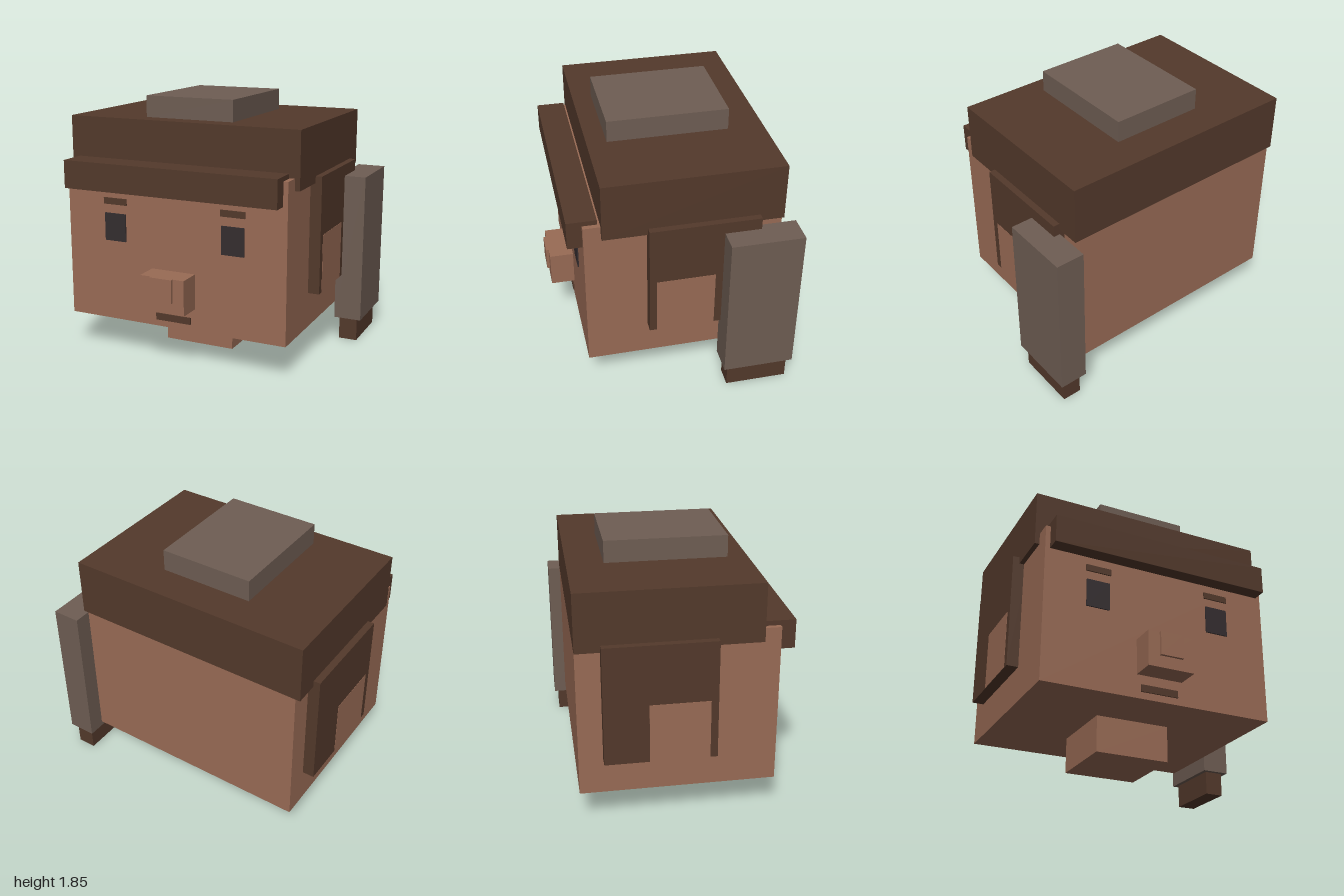
import * as THREE from 'three';

const material = (name, color) => {
  const m = new THREE.MeshStandardMaterial({ color });
  m.name = name;
  return m;
};

export function createModel() {
  const skin = material('skin', 0x996b55);
  const hair = material('dark brown hair', 0x53392b);
  const band = material('grey brown', 0x6e5d53);
  const eye = material('eye', 0x342d2f);

  const model = new THREE.Group();
  model.name = 'blockHead';

  // Box given by its [min, max] extents on each axis
  const box = (name, mat, [x0, x1], [y0, y1], [z0, z1]) => {
    const mesh = new THREE.Mesh(new THREE.BoxGeometry(x1 - x0, y1 - y0, z1 - z0), mat);
    mesh.position.set((x0 + x1) / 2, (y0 + y1) / 2, (z0 + z1) / 2);
    mesh.name = name;
    model.add(mesh);
  };

  // The head is centred slightly to its right; mirror paired parts about this line
  const mid = -0.078;
  const pair = (name, mat, [x0, x1], y, z) => {
    box(name + 'Left', mat, [mid + x0, mid + x1], y, z);
    box(name + 'Right', mat, [mid - x1, mid - x0], y, z);
  };

  // Head and neck
  box('head', skin, [-0.918, 0.762], [0.257, 1.38], [-0.72, 0.62]);
  box('neck', skin, [-0.348, 0.19], [0, 0.257], [-0.32, 0.22]);

  // Hair cap, fringe and top knot
  box('hairCap', hair, [-0.952, 0.798], [1.298, 1.7], [-0.722, 0.503]);
  box('fringe', hair, [-0.884, 0.728], [1.213, 1.413], [0.52, 0.722]);
  box('topKnot', band, [-0.412, 0.257], [1.7, 1.852], [-0.472, 0.366]);

  // Side hair with ears set almost flush in it
  pair('sideHair', hair, [0.8, 0.922], [0.51, 1.346], [-0.556, 0.2]);
  pair('ear', skin, [0.8, 0.924], [0.511, 0.928], [-0.255, 0.15]);

  // Hanging braid on the left with its loose end
  box('braid', band, [0.798, 1], [0.173, 1.262], [-0.807, -0.306]);
  box('braidEnd', hair, [0.83, 0.965], [0, 0.173], [-0.776, -0.338]);

  // Nose and its raised tip
  box('nose', skin, [-0.245, 0.09], [0.424, 0.675], [0.62, 0.79]);
  box('noseTip', skin, [-0.162, 0.005], [0.507, 0.675], [0.79, 0.81]);

  // Face details as thin plates
  const face = [0.621, 0.63];
  pair('eye', eye, [0.371, 0.538], [0.843, 1.043], face);
  pair('eyebrow', hair, [0.362, 0.544], [1.107, 1.153], face);
  box('mouth', hair, [-0.215, 0.055], [0.305, 0.355], face);

  return model;
}
